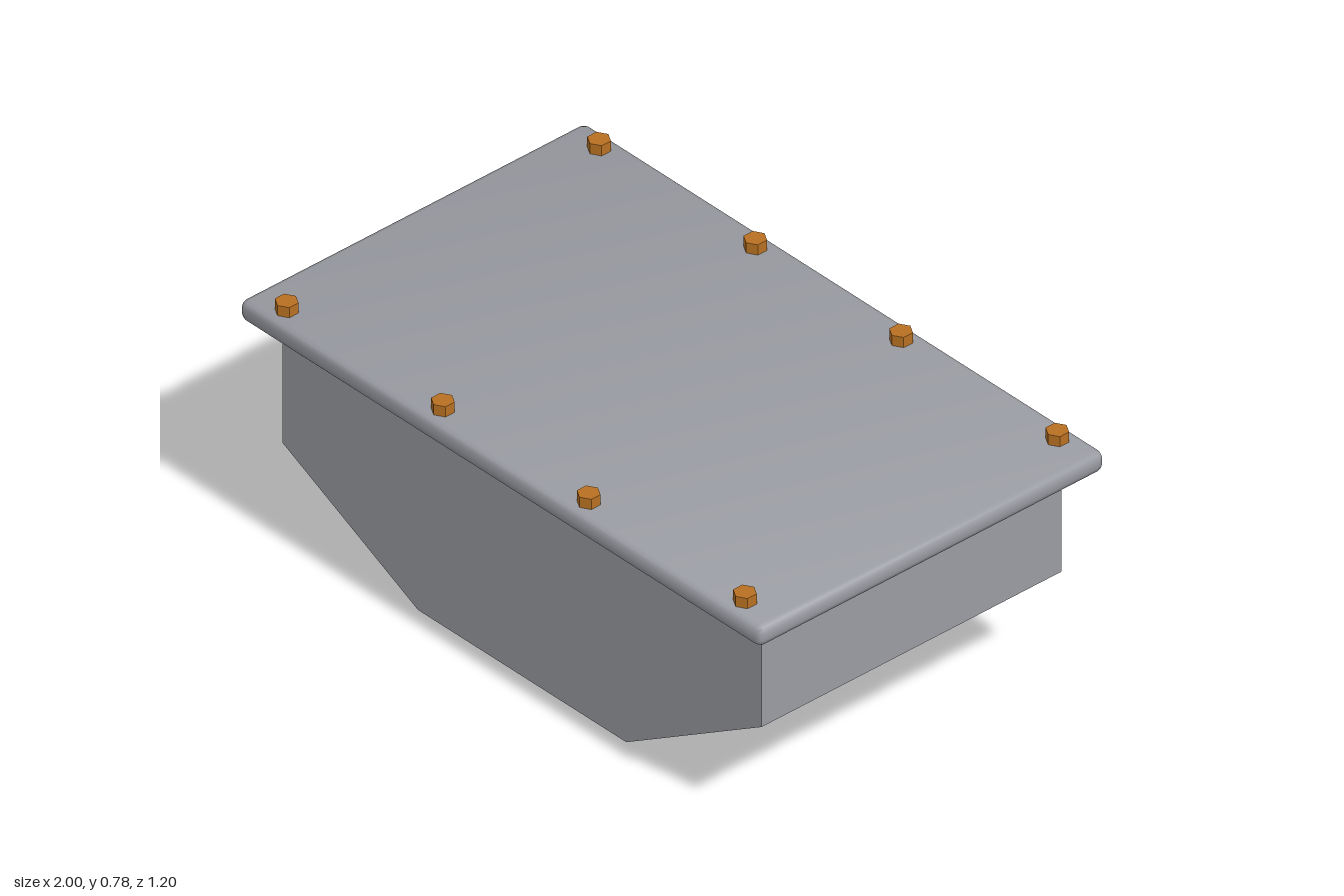
import * as THREE from 'three';
import { toCreasedNormals } from 'three/addons/utils/BufferGeometryUtils.js';
import { RoundedBoxGeometry } from 'three/addons/geometries/RoundedBoxGeometry.js';

const CREASE = THREE.MathUtils.degToRad(50);

export function createModel() {
  const model = new THREE.Group();
  model.name = 'oilPan';

  const material = (name, color) => {
    const m = new THREE.MeshStandardMaterial({ color });
    m.name = name;
    return m;
  };
  const steel = material('grey steel', 0x9a9ca3);
  const brass = material('brass', 0xb87022);

  const add = (name, geometry, mat, x, y, z) => {
    const mesh = new THREE.Mesh(geometry, mat);
    mesh.name = name;
    mesh.position.set(x, y, z);
    model.add(mesh);
    return mesh;
  };

  // Sump: front profile with unequal sloping ends, extruded front to back
  const depth = 1.04;
  const profile = new THREE.Shape([
    [-0.92, 0.7], [-0.92, 0.3], [-0.4, 0.045], [0.4, 0.045], [0.92, 0.363], [0.92, 0.7],
  ].map(([x, y]) => new THREE.Vector2(x, y)));
  const sump = new THREE.ExtrudeGeometry(profile, { depth, bevelEnabled: false });
  add('sump', toCreasedNormals(sump, CREASE), steel, 0, 0, -depth / 2);

  // Flange: thin plate with softened edges
  const flange = new RoundedBoxGeometry(2, 0.062, 1.2, 1, 0.02);
  add('flange', toCreasedNormals(flange, CREASE), steel, 0, 0.715, 0);

  // Hexagonal bolt heads along both long edges
  const boltHead = new THREE.CylinderGeometry(0.032, 0.032, 0.04, 6).toNonIndexed();
  boltHead.computeVertexNormals();
  for (const z of [-0.542, 0.542]) {
    for (const x of [-0.88, -0.28, 0.28, 0.88]) add('flangeBolt', boltHead, brass, x, 0.758, z);
  }

  // Hexagonal drain plug under the floor
  const plug = new THREE.CylinderGeometry(0.072, 0.072, 0.05, 6).toNonIndexed();
  plug.computeVertexNormals();
  add('drainPlug', plug, brass, 0, 0.025, 0);

  return model;
}
